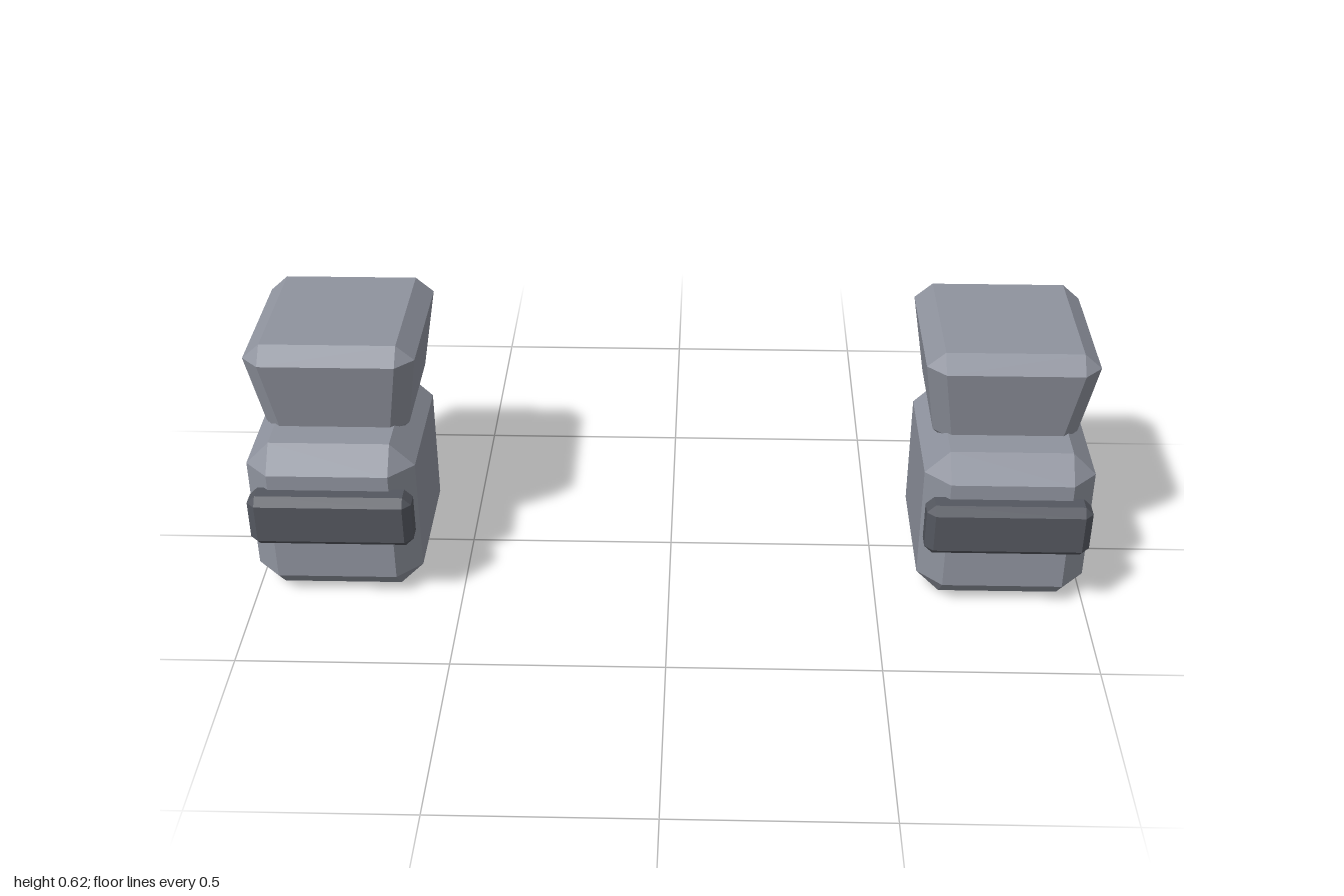
import * as THREE from 'three';
import { ConvexGeometry } from 'three/addons/geometries/ConvexGeometry.js';

// Box with bevelled edges and three-sided corners; each rim gives the half sizes
// and bevel (x/z inset c, height h) at the bottom and at the top.
function bevelledBox(y0, y1, bottom, top) {
  const points = [];
  for (const [rim, y, inward] of [[bottom, y0, 1], [top, y1, -1]]) {
    const { x, z, c, h } = rim;
    for (const sx of [-1, 1]) for (const sz of [-1, 1]) {
      points.push(
        new THREE.Vector3(sx * x, y + inward * h, sz * (z - c)),
        new THREE.Vector3(sx * (x - c), y + inward * h, sz * z),
        new THREE.Vector3(sx * (x - c), y, sz * (z - c))
      );
    }
  }
  return new ConvexGeometry(points);
}

export function createModel() {
  const grey = new THREE.MeshStandardMaterial({ color: 0x8f939e });
  grey.name = 'grey';
  const darkGrey = new THREE.MeshStandardMaterial({ color: 0x54575f });
  darkGrey.name = 'darkGrey';

  const bodyRim = { x: 0.2, z: 0.2185, c: 0.057, h: 0.057 };
  const bandRim = { x: 0.193, z: 0.038, c: 0.0195, h: 0.019 };
  const parts = [
    // Foot block
    ['foot', bevelledBox(0, 0.4, bodyRim, bodyRim), grey, 0.8, 0.0235],
    // Bar across the toe
    ['toeBar', bevelledBox(0.172, 0.305, bandRim, bandRim), darkGrey, 0.795, 0.251],
    // Ankle block, widening upwards
    ['ankle', bevelledBox(0.353, 0.617,
      { x: 0.172, z: 0.18, c: 0.041, h: 0.037 },
      { x: 0.202, z: 0.215, c: 0.042, h: 0.037 }), grey, 0.798, -0.072],
  ];

  const model = new THREE.Group();
  model.name = 'pairOfFeet';
  for (const [side, s] of [['left', 1], ['right', -1]]) {
    const group = new THREE.Group();
    group.name = side + 'Foot';
    for (const [name, geometry, material, x, z] of parts) {
      const mesh = new THREE.Mesh(geometry, material);
      mesh.name = name;
      mesh.position.set(s * x, 0, z);
      group.add(mesh);
    }
    model.add(group);
  }
  return model;
}
